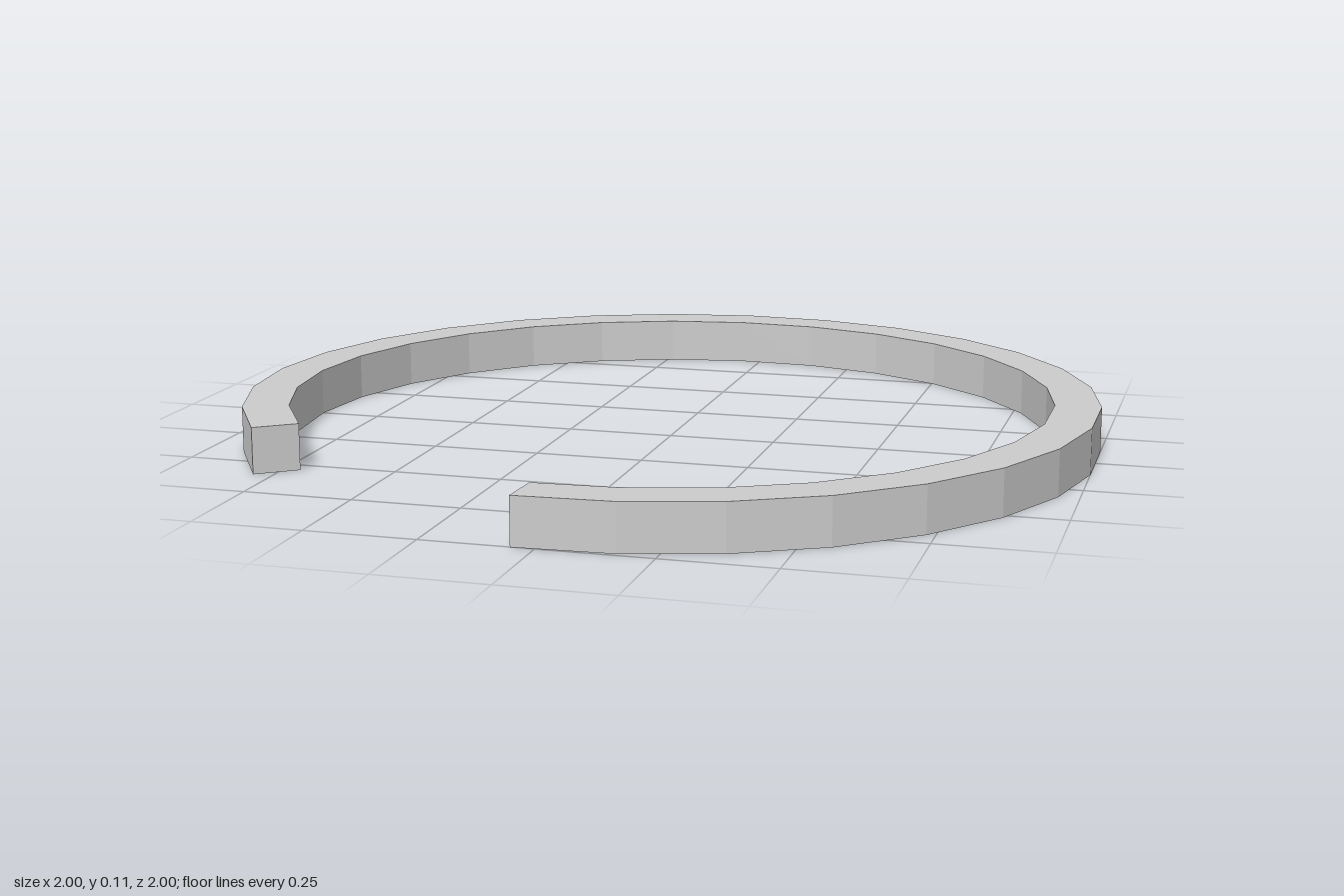
import * as THREE from 'three';

const SIDES = 29;        // sides of the full circle
const SEGMENTS = 25;     // sides present, the rest is the gap
const OUTER = 1.003, INNER = 0.896, HEIGHT = 0.107, SHIFT_X = 0.003;

export function createModel() {
  const group = new THREE.Group();
  group.name = 'openRing';

  // Plan outline: the outer arc one way, the inner arc back (shape y = -z)
  const step = (Math.PI * 2) / SIDES;
  const start = Math.PI - 3 * step;
  const corner = (radius, i) => {
    const a = start + i * step;
    return new THREE.Vector2(SHIFT_X + radius * Math.cos(a), -radius * Math.sin(a));
  };
  const outline = [];
  for (let i = 0; i <= SEGMENTS; i++) outline.push(corner(OUTER, i));
  for (let i = SEGMENTS; i >= 0; i--) outline.push(corner(INNER, i));

  // Square-section band, laid flat on the ground
  const geometry = new THREE.ExtrudeGeometry(new THREE.Shape(outline), {
    depth: HEIGHT,
    bevelEnabled: false,
  });
  geometry.rotateX(-Math.PI / 2);

  const material = new THREE.MeshStandardMaterial({ color: 0xcccccc, flatShading: true });
  const band = new THREE.Mesh(geometry, material);
  band.name = 'ringBand';
  group.add(band);
  return group;
}
